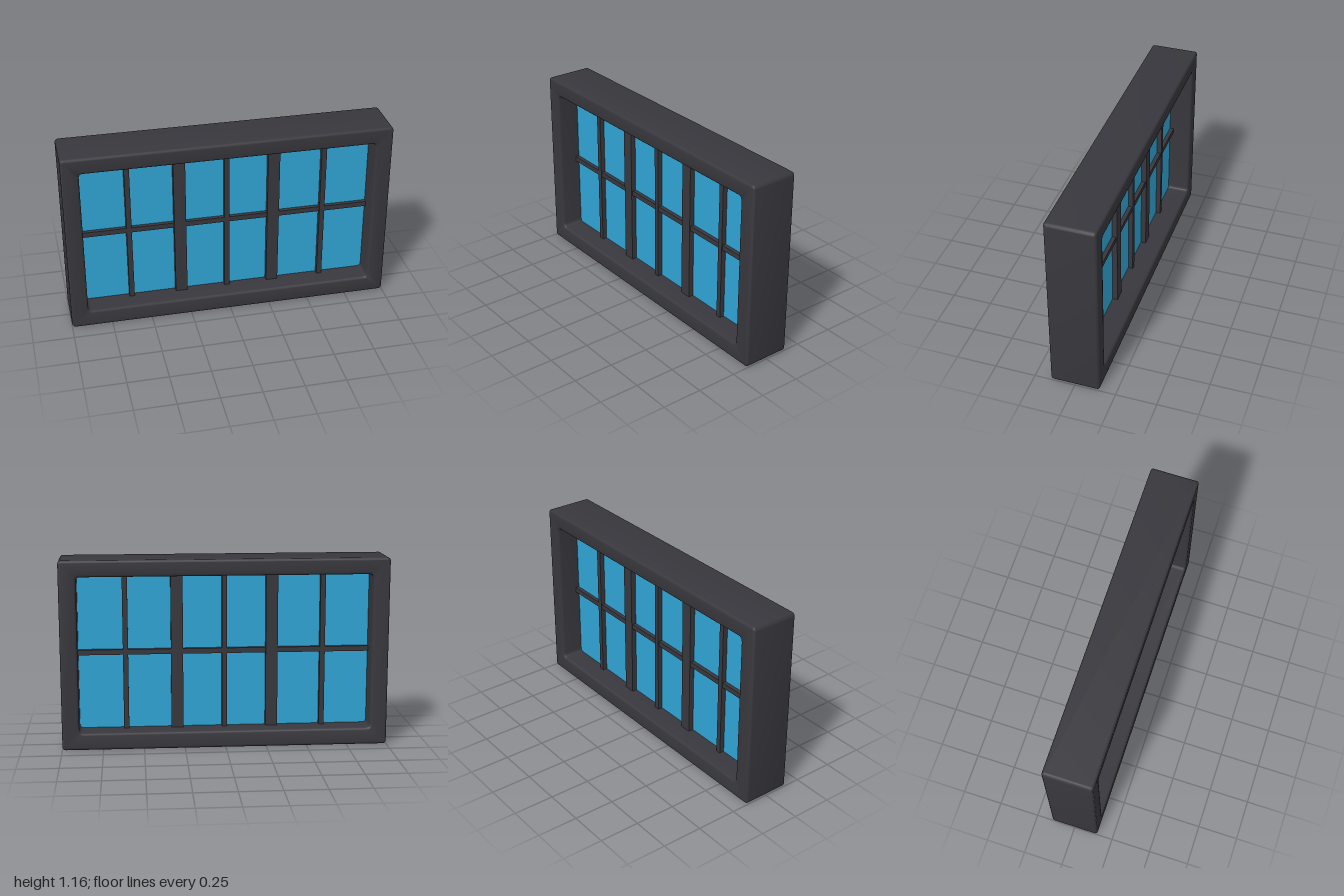
import * as THREE from 'three';
import { toCreasedNormals } from 'three/addons/utils/BufferGeometryUtils.js';

const W = 2, H = 1.165, D = 0.3, BEVEL = 0.015, MID = 0.585;

// Rounded rectangle centred on (0, cy)
function roundedRect(path, w, h, cy, r) {
  const x = w / 2, b = cy - h / 2, t = cy + h / 2;
  path.moveTo(-x + r, b);
  path.lineTo(x - r, b);
  path.quadraticCurveTo(x, b, x, b + r);
  path.lineTo(x, t - r);
  path.quadraticCurveTo(x, t, x - r, t);
  path.lineTo(-x + r, t);
  path.quadraticCurveTo(-x, t, -x, t - r);
  path.lineTo(-x, b + r);
  path.quadraticCurveTo(-x, b, -x + r, b);
  return path;
}

export function createModel() {
  const group = new THREE.Group();
  const frameMat = new THREE.MeshStandardMaterial({ color: 0x38373d });
  frameMat.name = 'charcoal frame';
  const glassMat = new THREE.MeshStandardMaterial({ color: 0x30a4d4 });
  glassMat.name = 'blue glass';

  const add = (name, geometry, material, x, y, z) => {
    const mesh = new THREE.Mesh(geometry, material);
    mesh.name = name;
    mesh.position.set(x, y, z);
    group.add(mesh);
  };

  // Outer frame with softened edges; the bevel grows the solid to full size
  const outline = roundedRect(new THREE.Shape(), W - 2 * BEVEL, H - 2 * BEVEL, H / 2, 0.008);
  outline.holes.push(roundedRect(new THREE.Path(), 1.79 + 2 * BEVEL, 0.958 + 2 * BEVEL, MID, 0.04));
  const frame = new THREE.ExtrudeGeometry(outline, {
    depth: D - 2 * BEVEL, bevelEnabled: true, bevelSize: BEVEL,
    bevelThickness: BEVEL, bevelSegments: 3, curveSegments: 4,
  });
  frame.translate(0, 0, -D / 2 + BEVEL);
  add('frame', toCreasedNormals(frame, 0.8), frameMat, 0, 0, 0);

  // Glass sheet, tucked into the frame
  add('glass', new THREE.BoxGeometry(1.84, 1.0, 0.016), glassMat, 0, MID, 0);

  // Wide mullions, narrow glazing bars and the crossbar
  for (const x of [-0.292, 0.292])
    add('mullion', new THREE.BoxGeometry(0.074, 1.0, 0.08), frameMat, x, MID, 0);
  for (const x of [-0.607, 0, 0.607])
    add('glazingBar', new THREE.BoxGeometry(0.032, 1.0, 0.076), frameMat, x, MID, 0);
  add('crossbar', new THREE.BoxGeometry(1.84, 0.032, 0.066), frameMat, 0, MID, 0);

  return group;
}
